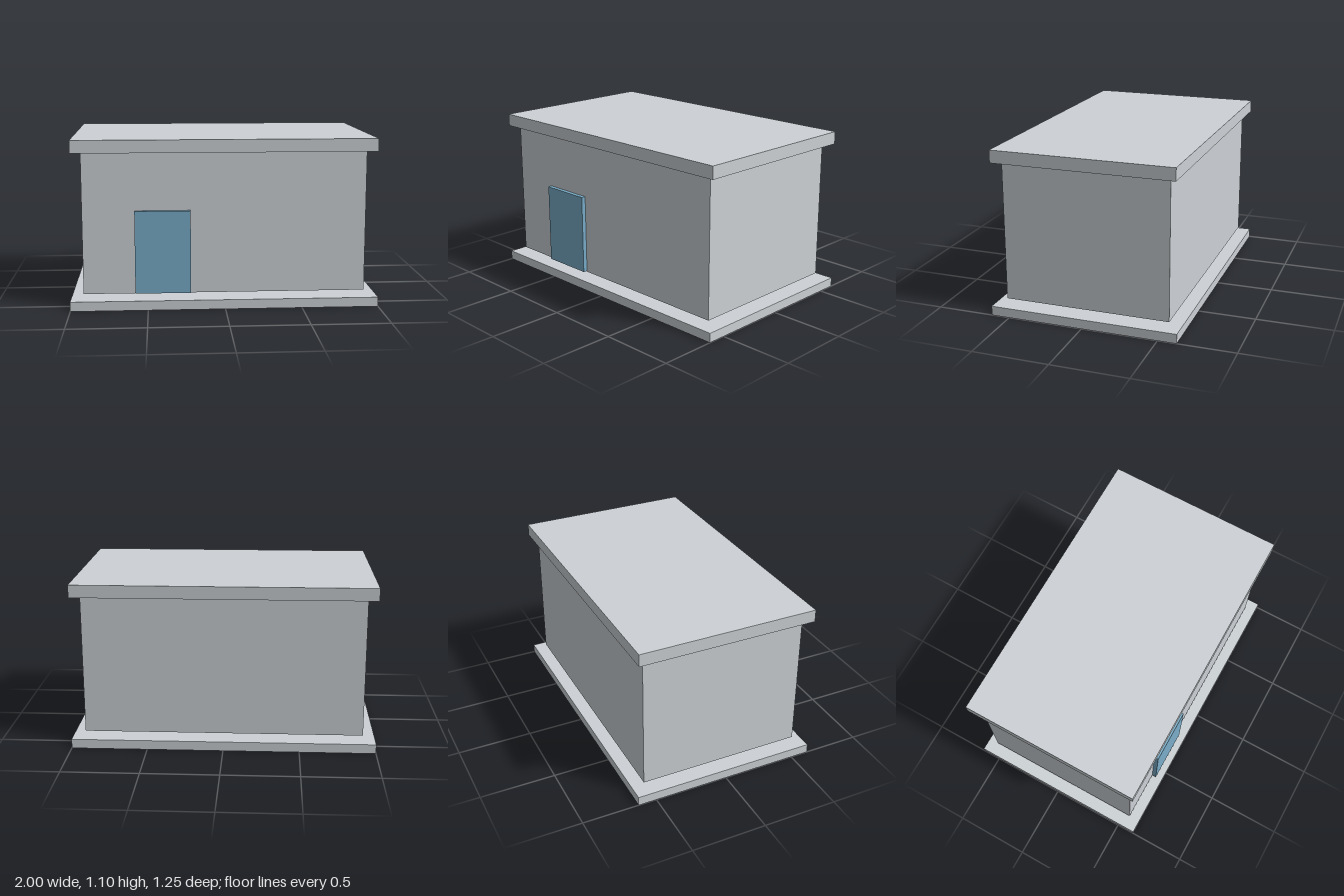
import * as THREE from 'three';

const concrete = new THREE.MeshStandardMaterial({ name: 'pale concrete grey', color: 0xcdd2d6 });
const doorBlue = new THREE.MeshStandardMaterial({ name: 'door blue', color: 0x7aadc8 });

// Box given by its minimum and maximum corners
function block(name, [x0, y0, z0], [x1, y1, z1], material) {
  const mesh = new THREE.Mesh(new THREE.BoxGeometry(x1 - x0, y1 - y0, z1 - z0), material);
  mesh.position.set((x0 + x1) / 2, (y0 + y1) / 2, (z0 + z1) / 2);
  mesh.name = name;
  return mesh;
}

export function createModel() {
  const building = new THREE.Group();
  building.name = 'building';
  building.add(
    // Ground slab, with a narrow gap below the walls
    block('foundation', [-1, 0, -0.623], [1, 0.062, 0.623], concrete),
    block('walls', [-0.918, 0.095, -0.549], [0.918, 1.017, 0.549], concrete),
    // Flat overhanging roof
    block('roof', [-0.981, 1.017, -0.599], [0.981, 1.1, 0.599], concrete),
    // Door standing proud of the front wall
    block('door', [-0.582, 0.1, 0.549], [-0.222, 0.64, 0.578], doorBlue)
  );
  return building;
}
